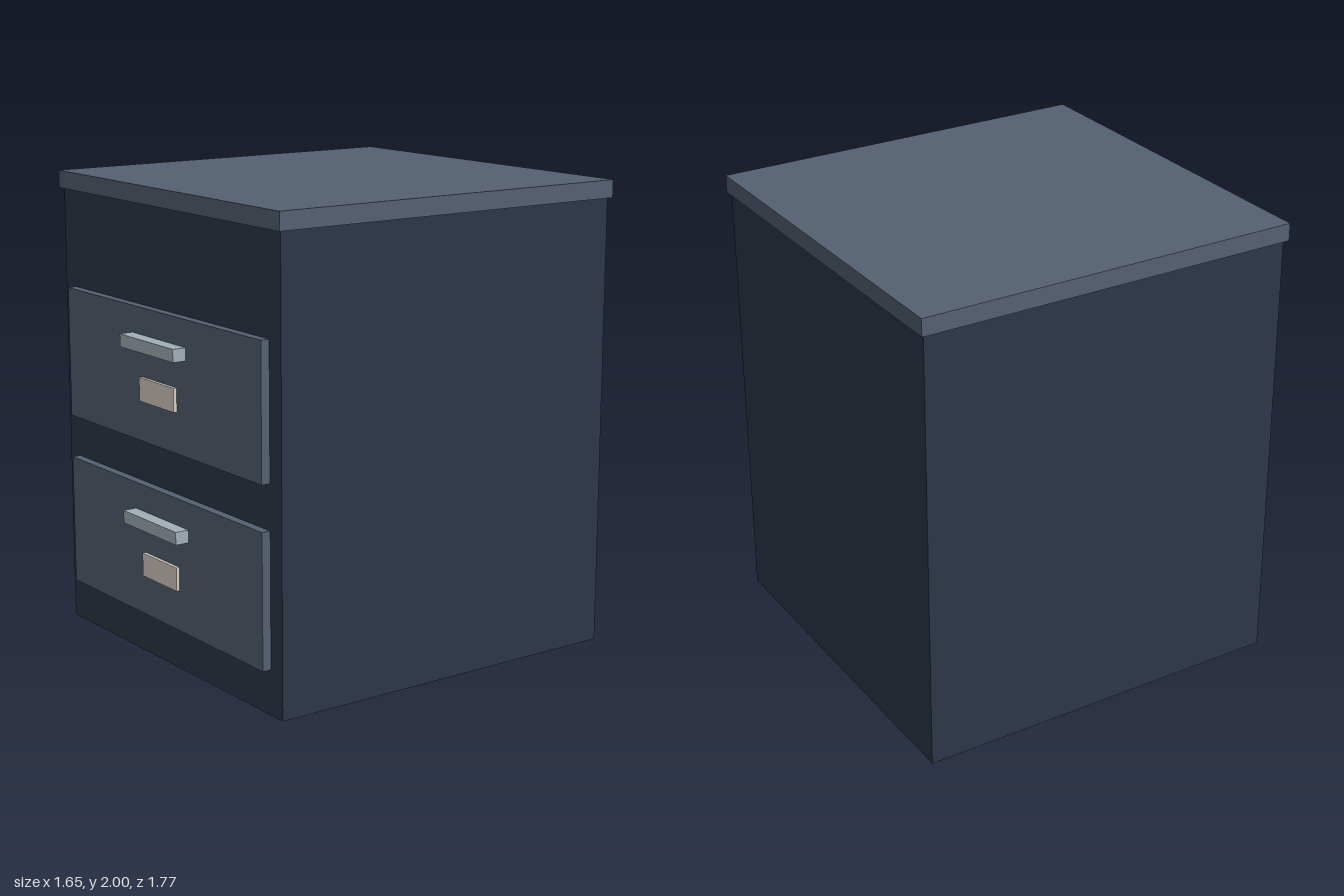
import * as THREE from 'three';

const paint = (color) => new THREE.MeshStandardMaterial({ color });

// Box given by its centre x = 0, vertical centre, and back/front z limits
function addBox(parent, name, material, width, height, y, back, front) {
  const mesh = new THREE.Mesh(new THREE.BoxGeometry(width, height, front - back), material);
  mesh.name = name;
  mesh.position.set(0, y, (back + front) / 2);
  parent.add(mesh);
  return mesh;
}

export function createModel() {
  const model = new THREE.Group();
  model.name = 'drawerCabinet';

  const dark = paint(0x2d3748);
  const slate = paint(0x556072);
  const metal = paint(0xa3b1b8);
  const paper = paint(0xd6cec4);

  // Cabinet body, ending inside the top slab
  addBox(model, 'body', dark, 1.624, 1.96, 0.98, -0.865, 0.788);

  // Overhanging top
  addBox(model, 'top', slate, 1.654, 0.075, 1.9625, -0.88, 0.804);

  // Two drawers, each with a front panel, bar handle and label plate
  [['lowerDrawer', 0.471], ['upperDrawer', 1.223]].forEach(([name, y]) => {
    const drawer = new THREE.Group();
    drawer.name = name;
    drawer.position.y = y;
    addBox(drawer, 'drawerFront', slate, 1.466, 0.564, 0, 0.77, 0.826);
    addBox(drawer, 'handle', metal, 0.408, 0.054, 0.141, 0.82, 0.886);
    addBox(drawer, 'labelPlate', paper, 0.264, 0.1, -0.058, 0.82, 0.841);
    model.add(drawer);
  });

  return model;
}
